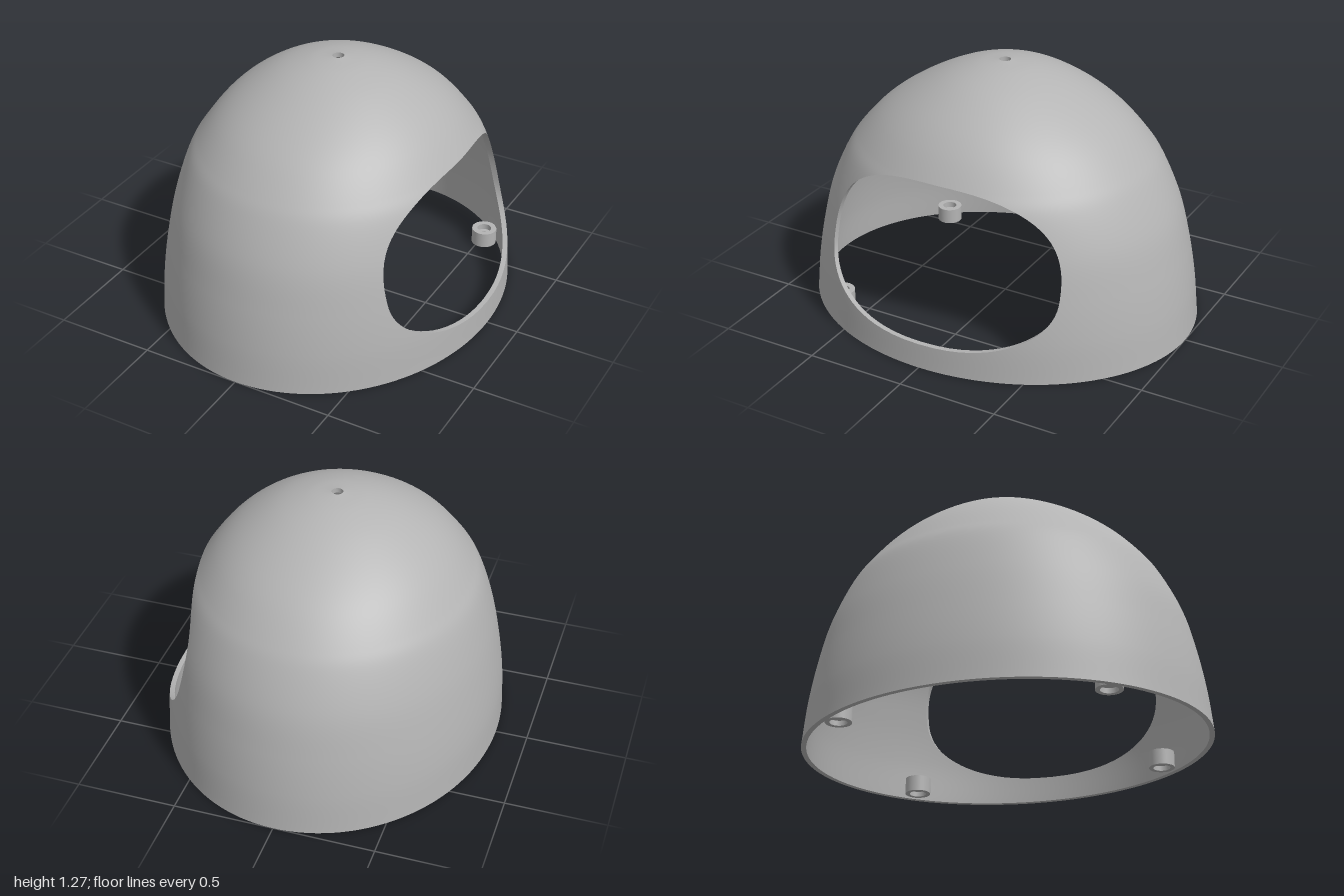
import * as THREE from 'three';

const COLS = 128, WALL = 0.025;
const V = (x, y, z) => new THREE.Vector3(x, y, z);

// Half-width in x, height, half-width in z, from the base to the small top hole
const PROFILE = [
  [0.84, 0, 1], [0.831, 0.2, 0.977], [0.805, 0.4, 0.94], [0.765, 0.6, 0.886],
  [0.703, 0.8, 0.79], [0.655, 0.88, 0.733], [0.566, 1.0, 0.62], [0.46, 1.1, 0.485],
  [0.3, 1.2, 0.3], [0.15, 1.252, 0.15], [0.028, 1.271, 0.028],
].map(p => V(...p));

// Rounded side window, seen along x: half-width in z at height y
const WINDOW = { low: 0.127, mid: 0.43, high: 0.88, half: 0.62, power: 2.45 };
function windowHalf(y) {
  const { low, mid, high, half, power } = WINDOW;
  const f = Math.min(1, Math.abs(y - mid) / (y > mid ? high - mid : mid - low));
  return half * Math.pow(1 - Math.pow(f, power), 1 / power);
}

// Profile moved inwards by the wall thickness
function innerProfile(points) {
  const curve = new THREE.CatmullRomCurve3(points);
  const last = points.length - 1;
  return points.map((p, i) => {
    const t = curve.getTangent(i / last);
    const la = Math.hypot(t.x, t.y), lb = Math.hypot(t.z, t.y);
    if (i === last) return V(p.x, p.y - WALL, p.z);
    const drop = WALL * (t.x / la + t.z / lb) / 2;
    return V(p.x - WALL * t.y / la, i ? p.y + drop : 0, p.z - WALL * t.y / lb);
  });
}

function uAtHeight(curve, y) {
  let lo = 0, hi = 1;
  for (let k = 0; k < 40; k++) {
    const m = (lo + hi) / 2;
    if (curve.getPoint(m).y < y) lo = m; else hi = m;
  }
  return lo;
}

// Elliptical skin; rows level with the window start and stop at its edge
function makeSkin(points, inward) {
  const curve = new THREE.CatmullRomCurve3(points);
  const u0 = uAtHeight(curve, WINDOW.low), u1 = uAtHeight(curve, WINDOW.high);
  const rows = [];
  for (let i = 0; i < 8; i++) rows.push({ u: u0 * i / 8 });
  for (let i = 0; i <= 48; i++) {
    const f = (1 - Math.cos(Math.PI * i / 48)) / 2;
    rows.push({ u: u0 + (u1 - u0) * f, open: i > 0 && i < 48 });
  }
  for (let i = 1; i <= 32; i++) rows.push({ u: u1 + (1 - u1) * i / 32 });

  const pos = [], nor = [], index = [], grid = [];
  const sign = inward ? -1 : 1;
  rows.forEach((row, i) => {
    const p = curve.getPoint(row.u), t = curve.getTangent(row.u);
    const w = row.open ? Math.asin(windowHalf(p.y) / p.z) : 0;
    grid.push([]);
    for (let j = 0; j <= COLS; j++) {
      const a = w + (2 * Math.PI - 2 * w) * j / COLS;
      const c = Math.cos(a), s = Math.sin(a);
      const v = V(p.x * c, p.y, p.z * s);
      const n = V(t.y * c / p.x, -(t.x * c * c / p.x + t.z * s * s / p.z), t.y * s / p.z);
      n.normalize().multiplyScalar(sign);
      grid[i].push(v);
      pos.push(v.x, v.y, v.z);
      nor.push(n.x, n.y, n.z);
      if (i && j) {
        const d = i * (COLS + 1) + j, e = d - 1, b = d - COLS - 1, q = b - 1;
        if (inward) index.push(q, b, e, b, d, e);
        else index.push(q, e, b, b, e, d);
      }
    }
  });
  const geo = new THREE.BufferGeometry();
  geo.setAttribute('position', new THREE.Float32BufferAttribute(pos, 3));
  geo.setAttribute('normal', new THREE.Float32BufferAttribute(nor, 3));
  geo.setIndex(index);
  return { geo, grid };
}

// Band of faces between two matching edges
function strip(A, B) {
  const pos = [], index = [];
  A.forEach((a, i) => {
    pos.push(...a.toArray(), ...B[i].toArray());
    const k = 2 * i;
    if (i) index.push(k - 2, k - 1, k, k, k - 1, k + 1);
  });
  const geo = new THREE.BufferGeometry();
  geo.setAttribute('position', new THREE.Float32BufferAttribute(pos, 3));
  geo.setIndex(index);
  geo.computeVertexNormals();
  return geo;
}

export function createModel() {
  const model = new THREE.Group();
  model.name = 'domeShell';
  const grey = new THREE.MeshStandardMaterial({ color: 0xb4b4b4 });
  grey.name = 'grey';
  const add = (name, geo) => {
    const mesh = new THREE.Mesh(geo, grey);
    mesh.name = name;
    model.add(mesh);
    return mesh;
  };

  // Outer and inner skins
  const outer = makeSkin(PROFILE, false), inner = makeSkin(innerProfile(PROFILE), true);
  add('outerSkin', outer.geo);
  add('innerSkin', inner.geo);

  // Edges joining the skins: base, top hole and both halves of the window
  const O = outer.grid, I = inner.grid, top = O.length - 1;
  const side = (g, j) => g.slice(8, 57).map(r => r[j]);
  add('baseRim', strip(I[0], O[0]));
  add('topHoleRim', strip(O[top], I[top]));
  add('windowRimLeft', strip(side(O, 0), side(I, 0)));
  add('windowRimRight', strip(side(I, COLS), side(O, COLS)));

  // Four screw bosses, recessed at both ends with a small through hole
  const section = [
    [0.016, 0.025], [0.042, 0.025], [0.042, 0], [0.064, 0],
    [0.064, 0.08], [0.036, 0.08], [0.036, 0.05], [0.016, 0.05], [0.016, 0.025],
  ];
  for (const sx of [-1, 1]) for (const sz of [-1, 1]) {
    const boss = new THREE.Group();
    boss.name = 'screwBoss';
    // Each wall of the section is turned on its own so the edges stay sharp
    for (let i = 1; i < section.length; i++) {
      const pair = [section[i - 1], section[i]].map(p => new THREE.Vector2(...p));
      const mesh = new THREE.Mesh(new THREE.LatheGeometry(pair, 32), grey);
      mesh.name = 'bossWall';
      boss.add(mesh);
    }
    boss.position.set(0.525 * sx, 0.006, 0.645 * sz);
    model.add(boss);
  }
  return model;
}
